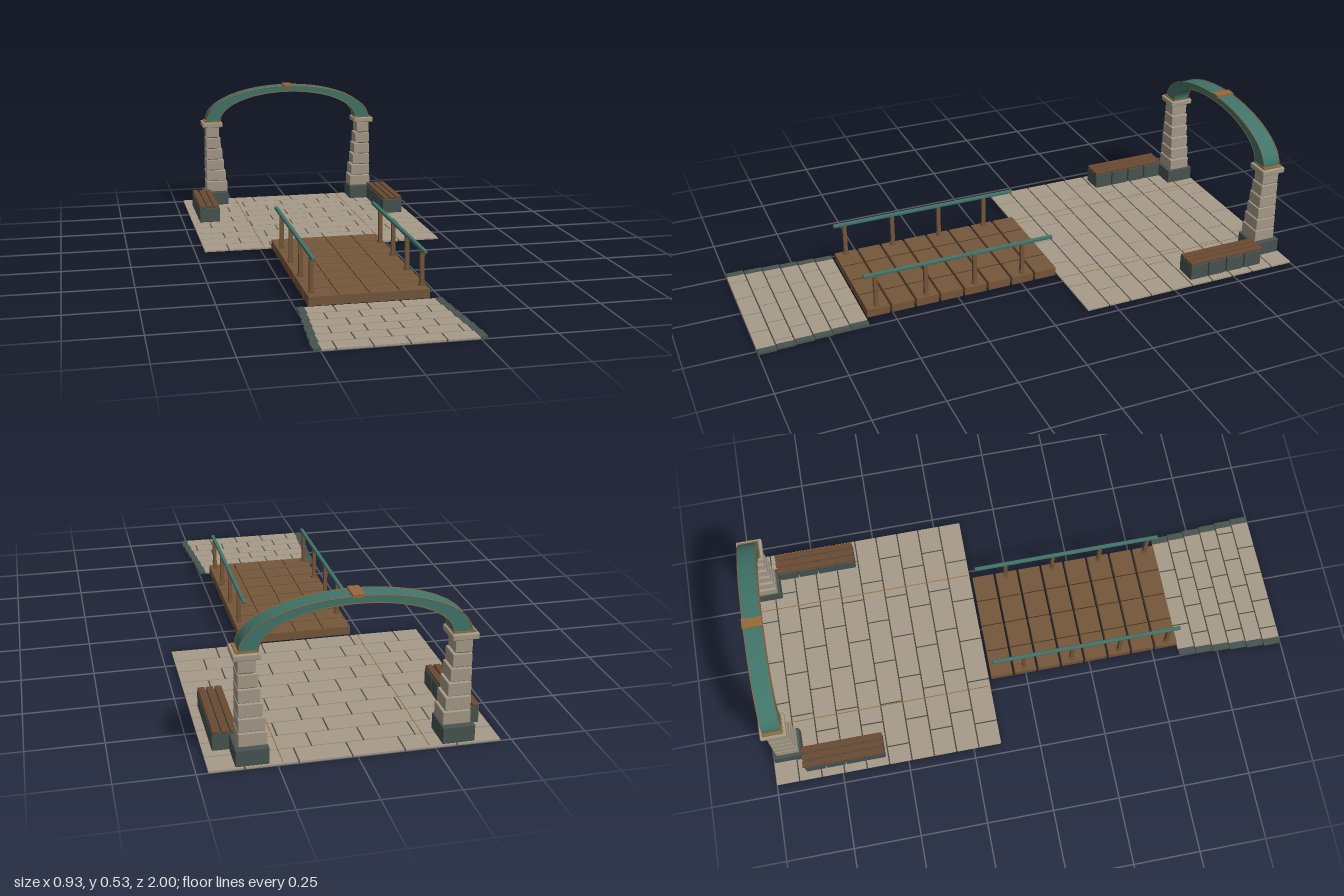
import * as THREE from 'three';
import { RoundedBoxGeometry } from 'three/addons/geometries/RoundedBoxGeometry.js';

const paint = (name, color, side = THREE.FrontSide) => {
  const m = new THREE.MeshStandardMaterial({ color, side });
  m.name = name;
  return m;
};

export function createModel() {
  const stone = paint('warm stone', 0xa79c8a);
  const mortar = paint('dark mortar', 0x4b4740, THREE.DoubleSide);
  const slate = paint('slate', 0x485451);
  const wood = paint('deck wood', 0x76573a);
  const darkWood = paint('bench wood', 0x6b4a32);
  const seam = paint('wood seam', 0x3b2a1c);
  const teal = paint('teal metal', 0x41756b);
  const copper = paint('copper', 0x96693a);

  const model = new THREE.Group();
  model.name = 'gardenBridge';
  const group = (name) => {
    const g = new THREE.Group();
    g.name = name;
    model.add(g);
    return g;
  };
  // Box given by its limits on each axis; x limits may come in either order
  const block = (parent, name, mat, [xa, xb], [y0, y1], [z0, z1], bevel = 0) => {
    const w = Math.abs(xb - xa), h = y1 - y0, d = z1 - z0;
    const geo = bevel ? new RoundedBoxGeometry(w, h, d, 1, bevel) : new THREE.BoxGeometry(w, h, d);
    const mesh = new THREE.Mesh(geo, mat);
    mesh.position.set((xa + xb) / 2, (y0 + y1) / 2, (z0 + z1) / 2);
    mesh.name = name;
    parent.add(mesh);
    return mesh;
  };

  // Staggered paving rows; halfWidth(t) gives the half width along the path
  const pave = (parent, z0, z1, rows, brick, halfWidth) => {
    const depth = (z1 - z0) / rows, gap = 0.0025;
    for (let r = 0; r < rows; r++) {
      const za = z0 + r * depth, hw = halfWidth((r + 0.5) / rows);
      const bed = new THREE.Mesh(new THREE.PlaneGeometry(hw * 2, depth), mortar);
      bed.rotation.x = -Math.PI / 2;
      bed.position.set(0, 0.003, za + depth / 2);
      bed.name = 'mortarBed';
      parent.add(bed);
      const shift = (r % 2 ? 0.5 : 0.95) * brick + ((r * 7) % 5 - 2) * brick * 0.05;
      for (let a = -hw, b = -hw + shift; a < hw - 0.005; a = b, b += brick) {
        if (b > hw - 0.02) b = hw;
        block(parent, 'paver', stone,
          [a === -hw ? a : a + gap, b === hw ? b : b - gap], [0, 0.006],
          [r ? za + gap : za, r < rows - 1 ? za + depth - gap : za + depth]);
      }
    }
  };

  // Plaza with fine inlay lines
  const plaza = group('plaza');
  pave(plaza, -1, -0.145, 10, 0.168, () => 0.463);
  for (const s of [-1, 1]) {
    block(plaza, 'inlay', copper, [s * 0.2315, s * 0.2345], [0.003, 0.0063], [-0.99, -0.15]);
  }

  // Flared approach path with stepped slate curbs
  const path = group('approachPath');
  const flare = (t) => 0.222 + 0.028 * t;
  pave(path, 0.6, 1, 6, 0.115, flare);
  for (let r = 0; r < 6; r++) {
    const inner = flare((r + 0.5) / 6), z = 0.6 + r / 15;
    for (const s of [-1, 1]) {
      block(path, 'curb', slate, [s * inner, s * (inner + 0.025)], [0, 0.008], [z + 0.001, z + 0.0655]);
    }
  }

  // Bridge deck
  const deck = group('bridgeDeck');
  const pitch = 0.0925;
  for (let i = 0; i < 8; i++) {
    const z = -0.14 + i * pitch;
    block(deck, 'plank', wood, [-0.208, 0.208], [0.005, 0.039], [z + 0.004, z + pitch - 0.004], 0.002);
    for (const x of [-0.104, 0, 0.104]) {
      block(deck, 'plankSeam', seam, [x - 0.0015, x + 0.0015], [0.037, 0.0394], [z + 0.006, z + pitch - 0.006]);
    }
  }

  // Handrails, benches and pillars, mirrored left and right
  for (const s of [-1, 1]) {
    const side = s > 0 ? 'left' : 'right';
    const span = (a, b) => [s * a, s * b];

    const rail = group(side + 'Handrail');
    for (const z of [-0.005, 0.182, 0.369, 0.556]) {
      block(rail, 'post', wood, span(0.183, 0.197), [0.039, 0.162], [z - 0.007, z + 0.007]);
      block(rail, 'postFoot', wood, span(0.18, 0.2), [0.039, 0.047], [z - 0.009, z + 0.009]);
    }
    block(rail, 'rail', teal, span(0.183, 0.197), [0.16, 0.172], [-0.125, 0.598], 0.003);

    const bench = group(side + 'Bench');
    for (let i = 0; i < 4; i++) {
      const z = -0.885 + i * 0.0762;
      block(bench, 'benchBlock', slate, span(0.35, 0.434), [0.006, 0.066], [z + 0.002, z + 0.0742], 0.003);
    }
    for (let i = 0; i < 3; i++) {
      const x = 0.353 + i * 0.028;
      block(bench, 'slat', darkWood, span(x, x + 0.023), [0.066, 0.076], [-0.888, -0.582], 0.002);
    }

    const pillar = group(side + 'Pillar');
    block(pillar, 'pillarBase', slate, span(0.274, 0.38), [0.006, 0.062], [-0.995, -0.885], 0.003);
    const insideFaces = [0.277, 0.283, 0.29, 0.296, 0.302, 0.309];
    insideFaces.forEach((x, i) => {
      const y = 0.063 + i * 0.0482, hd = 0.042 - i * 0.0016;
      block(pillar, 'pillarStone', stone, span(x, 0.368 - i * 0.0005), [y, y + 0.0455],
        [-0.937 - hd, -0.937 + hd], 0.003);
    });
    block(pillar, 'pillarCore', mortar, span(0.316, 0.36), [0.05, 0.355], [-0.966, -0.908]);
    block(pillar, 'pillarCap', stone, span(0.294, 0.381), [0.35, 0.371], [-0.984, -0.89], 0.004);
    block(pillar, 'archFoot', copper, span(0.301, 0.372), [0.371, 0.376], [-0.974, -0.9]);
  }

  // Arch: a tapering elliptical band
  const arch = group('arch');
  const baseY = 0.375, back = -0.97, front = -0.904, steps = 40;
  const shape = new THREE.Shape();
  const curve = (a, b) => Array.from({ length: steps + 1 }, (_, i) => {
    const t = (i / steps) * Math.PI;
    return new THREE.Vector2(a * Math.cos(t), baseY + b * Math.sin(t));
  });
  const outer = curve(0.361, 0.145), inner = curve(0.302, 0.122);
  shape.setFromPoints([...outer, ...inner.slice().reverse()]);
  const band = new THREE.Mesh(
    new THREE.ExtrudeGeometry(shape, { depth: front - back, bevelEnabled: false }), teal);
  band.position.z = back;
  band.name = 'archBand';
  arch.add(band);

  // Copper trim on the arch edges and the keystone plate
  for (const z of [back, front]) {
    for (const pts of [outer, inner]) {
      const line = new THREE.CatmullRomCurve3(pts.map((p) => new THREE.Vector3(p.x, p.y, z)));
      const trim = new THREE.Mesh(new THREE.TubeGeometry(line, 48, 0.0018, 5), copper);
      trim.name = 'archTrim';
      arch.add(trim);
    }
  }
  block(arch, 'keystone', copper, [-0.018, 0.018], [0.516, 0.527], [-0.973, -0.901]);

  return model;
}
